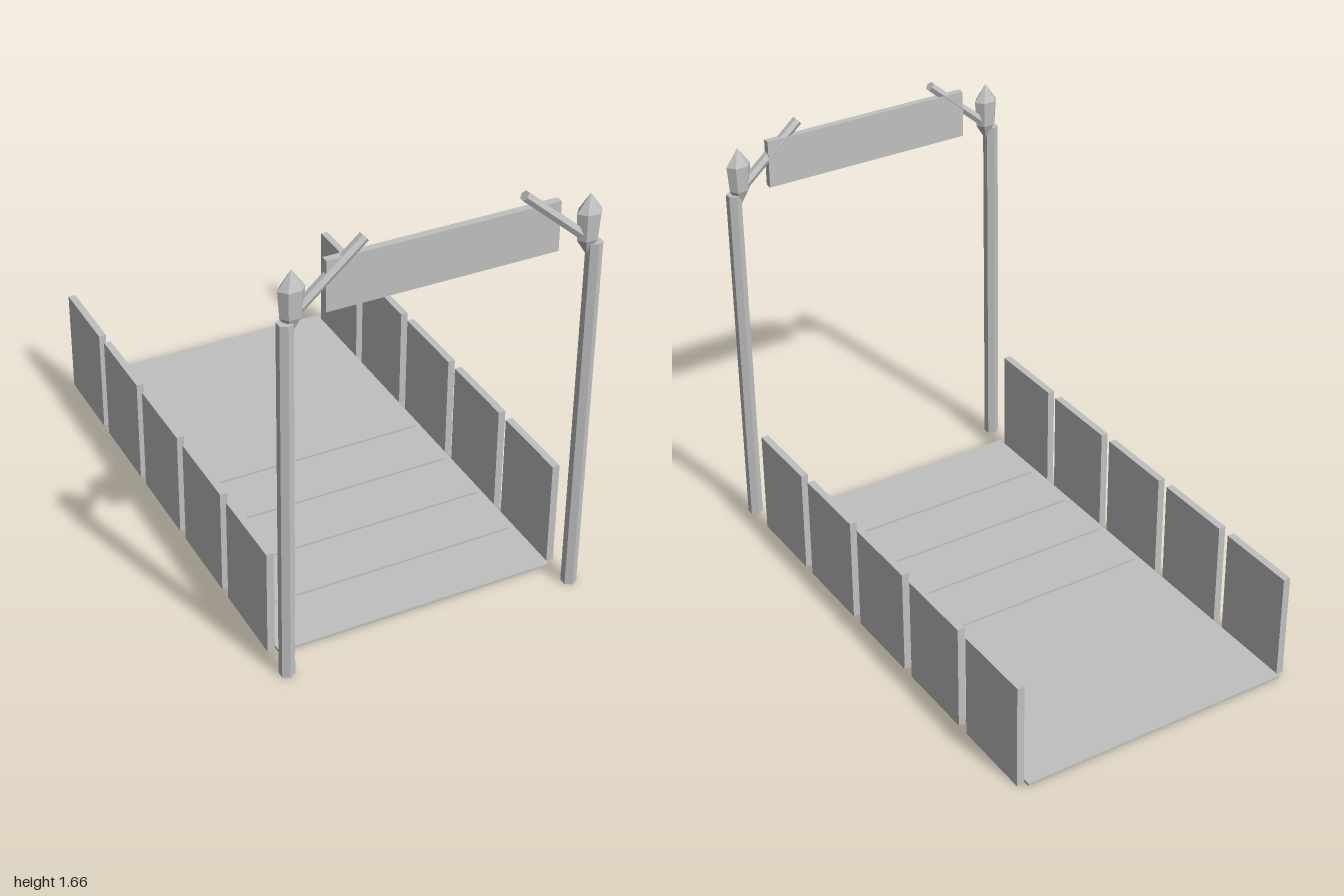
import * as THREE from 'three';

export function createModel() {
  const root = new THREE.Group();
  root.name = 'walkwayWithArch';
  const grey = new THREE.MeshStandardMaterial({ color: 0xc0c0c0, flatShading: true });
  grey.name = 'plainGrey';

  const add = (name, geometry, x, y, z) => {
    const mesh = new THREE.Mesh(geometry, grey);
    mesh.name = name;
    mesh.position.set(x, y, z);
    root.add(mesh);
    return mesh;
  };

  // Floor slab with raised cross strips
  add('floor', new THREE.BoxGeometry(1.08, 0.01, 1.87), 0, 0.005, -0.065);
  const strip = new THREE.BoxGeometry(1.03, 0.012, 0.045);
  for (let i = 0; i < 4; i++) add('floorStrip', strip, 0, 0.012, 0.61 - i * 0.242);

  // Hanging sign board
  add('signBoard', new THREE.BoxGeometry(0.84, 0.185, 0.027), 0, 1.5025, 0.962);

  // Faceted bud, flattened front to back
  const budProfile = [[0, 1.36], [0.041, 1.425], [0.048, 1.525], [0, 1.593]]
    .map(([r, y]) => new THREE.Vector2(r, y));
  const bud = new THREE.LatheGeometry(budProfile, 6, Math.PI / 2);
  bud.scale(1, 1, 0.7);

  const panel = new THREE.BoxGeometry(0.028, 0.42, 0.325);
  const post = new THREE.CylinderGeometry(0.0285, 0.0285, 1.41, 6);

  // Slanted brace between two points in the front plane
  const start = new THREE.Vector2(0.535, 1.425), end = new THREE.Vector2(0.285, 1.643);
  const run = end.clone().sub(start);
  const brace = new THREE.CylinderGeometry(0.019, 0.019, run.length(), 6);

  for (const side of [-1, 1]) {
    // Side wall panels
    for (let i = 0; i < 5; i++) {
      add('sidePanel', panel, side * 0.559, 0.21, -0.817 + i * 0.375);
    }
    add('post', post, side * 0.56, 0.705, 0.9715);
    add('finial', bud, side * 0.535, 0, 0.967);
    const bar = add('brace', brace, side * (start.x + end.x) / 2, (start.y + end.y) / 2, 0.966);
    bar.rotation.z = side * Math.atan2(-run.x, run.y);
  }
  return root;
}
